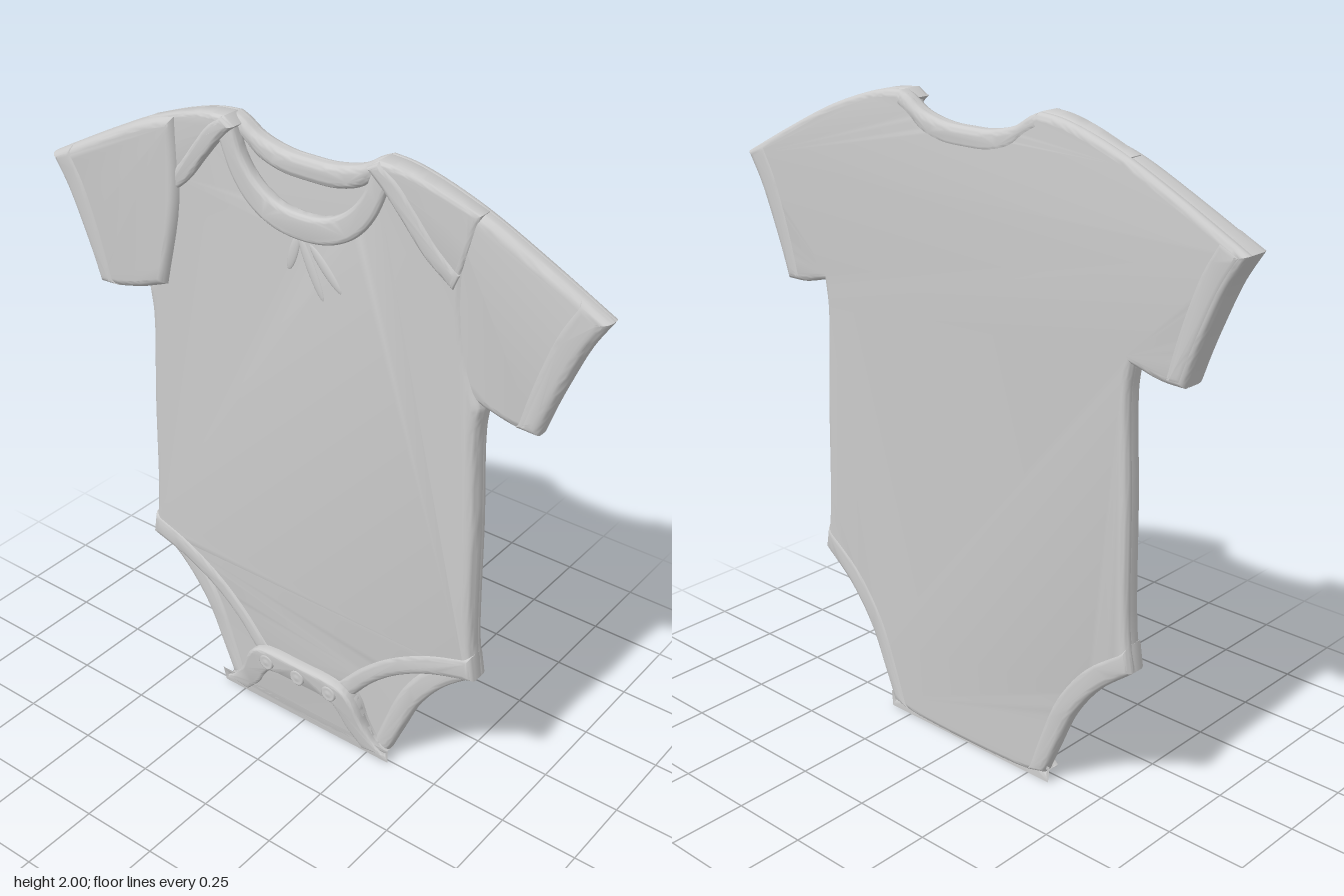
import * as THREE from 'three';
import { toCreasedNormals } from 'three/addons/utils/BufferGeometryUtils.js';

const cloth = new THREE.MeshStandardMaterial({ color: 0xcccccc });

// Smooth run through a few points
function curve(pts, n = 5) {
  const c = new THREE.CatmullRomCurve3(pts.map(([x, y]) => new THREE.Vector3(x, y, 0)), false, 'centripetal');
  return c.getPoints((pts.length - 1) * n).map(p => [p.x, p.y]);
}
const flip = pts => pts.map(([x, y]) => [-x, y]).reverse();

// Join smooth runs; the corners between runs stay sharp
const join = (...runs) => runs.flatMap(r => curve(r));
// Full outline from its +x half, listed top centre to bottom centre
const whole = half => [...half, ...flip(half)];
// Strip of cloth between two edges
const strip = (outer, inner) => [...curve(outer), ...curve(inner).reverse()];

// Soft-edged slab from z0 to z1; lift(x, y) slopes the front face
function panel(name, outline, z0, z1, bevel, lift = () => 0) {
  const pts = outline.filter((p, i) => {
    const q = outline[(i + 1) % outline.length];
    return Math.hypot(p[0] - q[0], p[1] - q[1]) > 1e-4;
  });
  const shape = new THREE.Shape(pts.map(([x, y]) => new THREE.Vector2(x, y)));
  let geo = new THREE.ExtrudeGeometry(shape, {
    depth: z1 - z0 - 2 * bevel, steps: 1, bevelEnabled: true,
    bevelThickness: bevel, bevelSize: bevel, bevelOffset: -bevel, bevelSegments: 5,
  });
  geo.translate(0, 0, z0 + bevel);
  const p = geo.attributes.position;
  for (let i = 0; i < p.count; i++) {
    const t = (p.getZ(i) - z0) / (z1 - z0);
    p.setZ(i, p.getZ(i) + t * lift(p.getX(i), p.getY(i)));
  }
  geo = toCreasedNormals(geo, 0.7);
  const mesh = new THREE.Mesh(geo, cloth);
  mesh.name = name;
  return mesh;
}

export function createModel() {
  const group = new THREE.Group();
  group.name = 'babyBodysuit';
  const add = (...args) => group.add(panel(...args));
  const addPair = (name, outline, ...rest) => {
    add('left' + name, outline, ...rest);
    add('right' + name, flip(outline), ...rest);
  };

  // Shared edges of the +x side
  const backNeck = [[0, 1.927], [0.08, 1.93], [0.17, 1.952], [0.225, 1.985], [0.255, 1.998]];
  const shoulder = [[0.255, 1.998], [0.32, 1.992], [0.41, 1.97], [0.55, 1.92], [0.74, 1.83], [0.925, 1.735]];
  const cuffEdge = [[0.925, 1.735], [0.87, 1.645], [0.82, 1.53], [0.785, 1.44], [0.757, 1.358]];
  const underarm = [[0.757, 1.358], [0.68, 1.362], [0.59, 1.385]];
  const side = [[0.59, 1.385], [0.58, 1.3], [0.593, 1], [0.606, 0.6], [0.625, 0.482]];
  const backLeg = [[0.625, 0.482], [0.51, 0.385], [0.42, 0.265], [0.36, 0.13], [0.318, 0.03]];
  const frontLeg = [[0.625, 0.482], [0.48, 0.435], [0.36, 0.37], [0.27, 0.295], [0.19, 0.2]];
  const hem = [[0.318, 0.03], [0.25, 0.012], [0.12, 0.004], [0, 0.003]];

  // Back panel with both sleeve backs
  add('backPanel', whole(join(backNeck, shoulder, cuffEdge, underarm, side, backLeg, hem)),
    -0.054, -0.01, 0.02);

  // Front panel, cut away at neck and legs
  add('frontPanel', whole(join(
    [[0, 1.73], [0.12, 1.76], [0.2, 1.82], [0.25, 1.93]],
    [[0.25, 1.93], [0.3, 1.975], [0.41, 1.965], [0.545, 1.915]],
    [[0.545, 1.915], [0.52, 1.77], [0.525, 1.6], [0.55, 1.48], [0.59, 1.385]],
    side, frontLeg, [[0.19, 0.2], [0, 0.17]],
  )), -0.05, 0.02, 0.026);

  // Sleeves, thinner towards the cuff
  const sleeveSlope = x => -0.028 * (x - 0.45);
  addPair('Sleeve', join([[0.44, 1.955], [0.55, 1.92], [0.74, 1.83], [0.925, 1.735]],
    cuffEdge, underarm, [[0.59, 1.385], [0.5, 1.42]], [[0.5, 1.42], [0.44, 1.7], [0.44, 1.955]]),
  -0.051, 0.017, 0.026, sleeveSlope);
  addPair('Cuff', strip(cuffEdge,
    [[0.84, 1.778], [0.785, 1.68], [0.74, 1.56], [0.71, 1.46], [0.685, 1.362]]),
  -0.056, 0.021, 0.026, sleeveSlope);

  // Neck bindings
  const backNeckInner = [[0, 1.862], [0.09, 1.866], [0.17, 1.89], [0.225, 1.93], [0.27, 1.955]];
  add('backNeckband', strip([...flip(backNeck), ...backNeck.slice(1)],
    [...flip(backNeckInner), ...backNeckInner.slice(1)]), -0.055, 0.004, 0.02);
  const collarTop = [[0, 1.78], [0.08, 1.79], [0.15, 1.83], [0.2, 1.89], [0.235, 1.975]];
  const collarLow = [[0, 1.703], [0.1, 1.717], [0.18, 1.76], [0.24, 1.83], [0.29, 1.945]];
  add('frontNeckband', strip([...flip(collarTop), ...collarTop.slice(1)],
    [...flip(collarLow), ...collarLow.slice(1)]), -0.012, 0.034, 0.014);

  // Overlapping shoulder flaps with bound edges
  const flapSlope = x => -0.09 * Math.max(0, x < 0 ? -x - 0.25 : x - 0.25);
  const flapEdge = [[0.222, 1.975], [0.27, 1.93], [0.33, 1.86], [0.4, 1.775], [0.488, 1.703]];
  addPair('ShoulderFlap', join([[0.255, 1.999], [0.32, 1.993], [0.41, 1.971], [0.553, 1.921]],
    [[0.553, 1.921], [0.525, 1.82], [0.505, 1.745], [0.488, 1.703]], flapEdge.slice().reverse()),
  -0.035, 0.044, 0.014, flapSlope);
  addPair('ShoulderFlapBinding', strip(flapEdge,
    [[0.26, 1.998], [0.315, 1.96], [0.375, 1.89], [0.435, 1.815], [0.505, 1.748]]),
  -0.03, 0.049, 0.014, flapSlope);

  // Leg opening bindings
  addPair('BackLegBinding', strip(backLeg,
    [[0.61, 0.56], [0.465, 0.45], [0.36, 0.31], [0.295, 0.15], [0.25, 0.014]]), -0.057, -0.003, 0.02);
  addPair('FrontLegBinding', strip(frontLeg,
    [[0.611, 0.565], [0.46, 0.51], [0.33, 0.435], [0.225, 0.345], [0.13, 0.235]]), -0.045, 0.025, 0.022);

  // Crotch flap folded up over the front
  const flapRise = (x, y) => 0.15 * (y - 0.24);
  const flapSide = [[0, 0.247], [0.12, 0.246], [0.175, 0.23], [0.21, 0.19], [0.24, 0.12], [0.28, 0.06], [0.318, 0.028]];
  const flapInner = [[0, 0.165], [0.09, 0.164], [0.125, 0.155], [0.15, 0.125], [0.175, 0.08], [0.205, 0.045], [0.235, 0.013]];
  add('crotchFlap', whole(join(flapSide, hem)), -0.045, 0.047, 0.022, flapRise);
  add('crotchFlapBinding', strip([...flip(flapSide), ...flapSide.slice(1)],
    [...flip(flapInner), ...flapInner.slice(1)]), -0.01, 0.054, 0.012, flapRise);

  // Snap fasteners: domed disc with a rim
  const snap = new THREE.LatheGeometry(
    [[0.027, -0.01], [0.027, 0.003], [0.022, 0.006], [0.018, 0.003], [0.01, 0.005], [0, 0.006]]
      .map(([r, h]) => new THREE.Vector2(r, h)), 24);
  snap.rotateX(Math.PI / 2);
  for (const x of [-0.125, 0, 0.125]) {
    const m = new THREE.Mesh(snap, cloth);
    m.name = 'snap';
    m.position.set(x, 0.2, 0.049);
    group.add(m);
  }

  // Soft gathers under the collar
  for (const [x, y, tilt, len] of [[0.03, 1.63, 0.45, 0.1], [0.08, 1.64, 0.75, 0.08], [-0.03, 1.66, -0.3, 0.06]]) {
    const fold = new THREE.Mesh(new THREE.SphereGeometry(1, 20, 12), cloth);
    fold.name = 'collarGather';
    fold.scale.set(0.016, len, 0.006);
    fold.position.set(x, y, 0.019);
    fold.rotation.z = tilt;
    group.add(fold);
  }
  return group;
}
